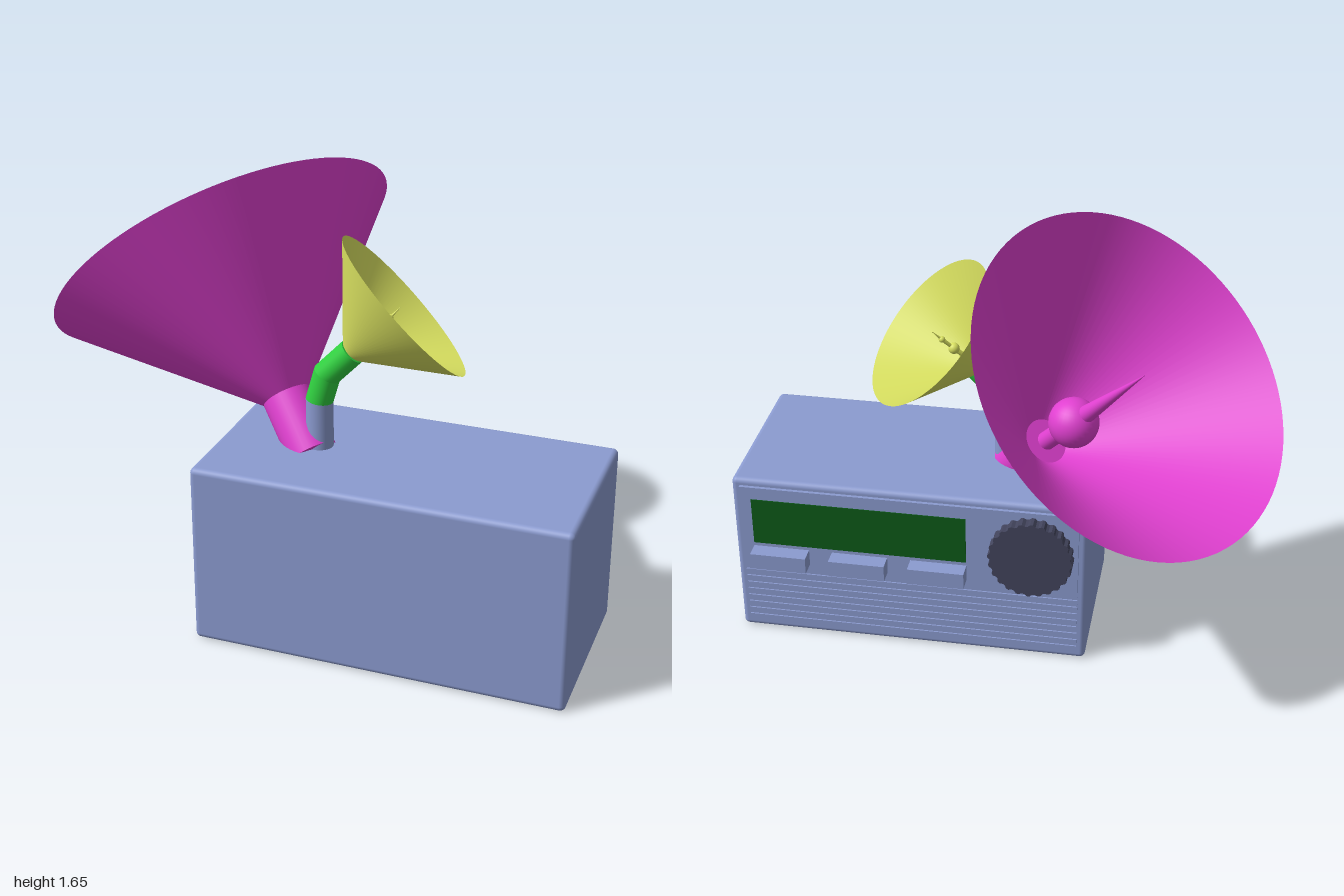
import * as THREE from 'three';
import { RoundedBoxGeometry } from 'three/addons/geometries/RoundedBoxGeometry.js';

const paint = (color, side = THREE.FrontSide) => new THREE.MeshStandardMaterial({ color, side });
const V = (x, y, z) => new THREE.Vector3(x, y, z);
const UP = V(0, 1, 0);

export function createModel() {
  const model = new THREE.Group();
  const blue = paint(0x8b9bd0), magenta = paint(0xe040d0), yellow = paint(0xd8e060);
  const green = paint(0x30d040), screenGreen = paint(0x0c5a18), dark = paint(0x42445c);
  dark.flatShading = true;

  const add = (parent, name, geometry, material) => {
    const mesh = new THREE.Mesh(geometry, material);
    mesh.name = name;
    parent.add(mesh);
    return mesh;
  };
  const box = (name, x, y, z, w, h, d, material = blue) =>
    add(model, name, new THREE.BoxGeometry(w, h, d), material).position.set(x, y, z);

  // Round bar from a to b, with a radius at each end
  const bar = (parent, name, a, b, ra, rb, material, open = false) => {
    const dir = b.clone().sub(a);
    const mesh = add(parent, name, new THREE.CylinderGeometry(rb, ra, dir.length(), open ? 96 : 32, 1, open), material);
    mesh.position.copy(a).add(b).multiplyScalar(0.5);
    mesh.quaternion.setFromUnitVectors(UP, dir.normalize());
    return mesh;
  };
  const ball = (parent, name, p, r, material) =>
    add(parent, name, new THREE.SphereGeometry(r, 32, 20), material).position.copy(p);

  // Cabinet
  add(model, 'cabinet', new RoundedBoxGeometry(1.333, 0.667, 0.667, 4, 0.02), blue)
    .position.set(0.333, 0.3335, 0.284);

  // Control panel on the back
  const back = -0.05;
  box('controlPanel', 0.333, 0.465, back - 0.004, 1.27, 0.35, 0.016);
  box('screen', 0.52, 0.495, back - 0.011, 0.81, 0.19, 0.008, screenGreen);
  for (const x of [0.22, 0.52, 0.82]) box('button', x, 0.353, back - 0.04, 0.212, 0.064, 0.068);

  // Tuning knob with a fluted edge
  const flutes = new THREE.Shape();
  for (let i = 0; i < 96; i++) {
    const a = (i / 96) * Math.PI * 2, r = i % 4 < 2 ? 0.157 : 0.149;
    flutes[i ? 'lineTo' : 'moveTo'](Math.cos(a) * r, Math.sin(a) * r);
  }
  add(model, 'knob', new THREE.ExtrudeGeometry(flutes, { depth: 0.05, bevelEnabled: false }), dark)
    .position.set(-0.13, 0.465, back - 0.06);

  // Speaker slats under the panel
  for (let i = 0; i < 8; i++) box('speakerSlat', 0.333, 0.05 + i * 0.03, back, 1.27, 0.017, 0.01);

  // Large horn: everything lies on one axis, measured from its rim
  const large = new THREE.Group();
  large.name = 'largeHorn';
  model.add(large);
  const rim = V(-0.475, 1.195, -0.03), axis = V(0.583, -0.702, 0.408).normalize();
  const at = t => rim.clone().addScaledVector(axis, t);
  bar(large, 'largeCone', at(0.66), rim, 0.002, 0.646, paint(0xe040d0, THREE.DoubleSide), true);
  bar(large, 'largeHornNeck', at(0.8), at(0.575), 0.088, 0.088, magenta);
  bar(large, 'largeFeedRod', at(0.64), at(0.386), 0.035, 0.035, magenta);
  ball(large, 'largeFeedBall', at(0.386), 0.093, magenta);
  bar(large, 'largeFeedSpike', at(0.33), at(-0.06), 0.035, 0.001, magenta);

  // Small horn
  const small = new THREE.Group();
  small.name = 'smallHorn';
  model.add(small);

  // Bent stem: each pipe is cut along the plane halfway between it and its neighbour
  const stem = [V(0.017, 0.63, 0.288), V(0.017, 0.84, 0.288), V(0.045, 0.94, 0.288), V(0.138, 1.038, 0.288)];
  const dirs = stem.slice(1).map((p, i) => p.clone().sub(stem[i]).normalize());
  dirs.forEach((dir, i) => {
    const length = stem[i].distanceTo(stem[i + 1]);
    const geometry = new THREE.CylinderGeometry(0.048, 0.048, length, 32);
    geometry.applyQuaternion(new THREE.Quaternion().setFromUnitVectors(UP, dir));
    const pos = geometry.attributes.position;
    for (let k = 0; k < pos.count; k++) {
      const p = new THREE.Vector3().fromBufferAttribute(pos, k);
      const end = p.dot(dir) > 0 ? 1 : -1;
      const offset = p.addScaledVector(dir, -p.dot(dir));
      const cut = dir.clone().add(dirs[i + end] || dir);
      const slide = -offset.dot(cut) / dir.dot(cut) + end * length / 2;
      p.addScaledVector(dir, slide);
      pos.setXYZ(k, p.x, p.y, p.z);
    }
    add(small, i ? 'stemElbow' : 'stemBase', geometry, i ? green : blue)
      .position.copy(stem[i]).add(stem[i + 1]).multiplyScalar(0.5);
  });

  bar(small, 'smallCone', V(0.108, 1.01, 0.302), V(0.295, 1.197, 0.217), 0.001, 0.308,
    paint(0xd8e060, THREE.DoubleSide), true);

  // Chain of shrinking beads inside the small cone
  const beads = [[0.165, 1.068, 0.283, 0.033], [0.213, 1.115, 0.263, 0.021], [0.253, 1.158, 0.243, 0.012]];
  const centres = beads.map(([x, y, z]) => V(x, y, z));
  beads.forEach((b, i) => ball(small, 'feedBead', centres[i], b[3], yellow));
  const links = [V(0.115, 1.017, 0.299), ...centres, V(0.285, 1.194, 0.226)];
  for (let i = 0; i < 4; i++) {
    const r = 0.011 - i * 0.002;
    bar(small, 'feedLink', links[i], links[i + 1], r, i === 3 ? 0.001 : r, yellow);
  }
  return model;
}
